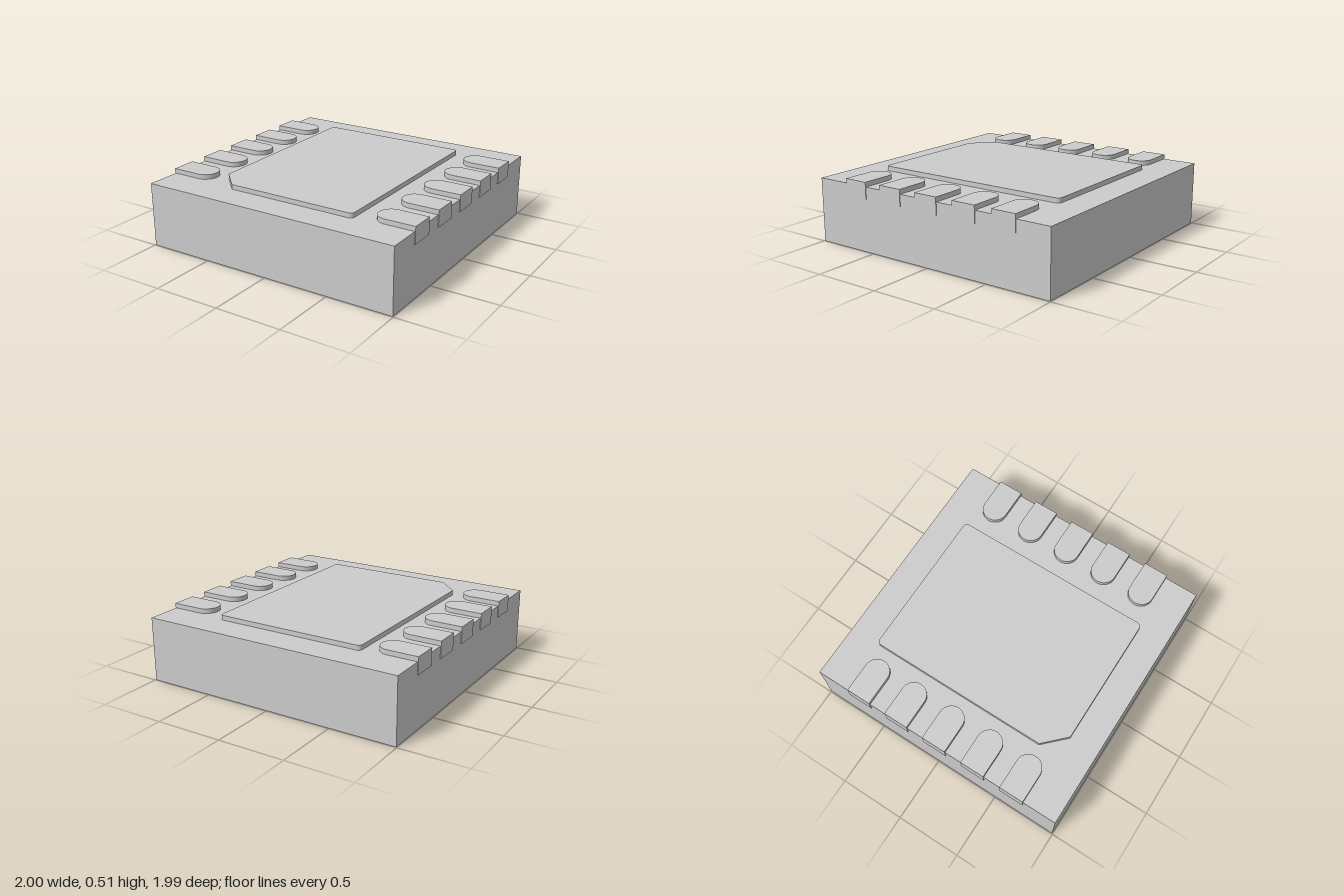
import * as THREE from 'three';
import { toCreasedNormals } from 'three/addons/utils/BufferGeometryUtils.js';

const BODY = 0.995;     // half width of the body
const BODY_TOP = 0.48;
const PAD_TOP = 0.515;
const RECESS = 0.01;

export function createModel() {
  const model = new THREE.Group();
  model.name = 'chipPackage';
  const material = new THREE.MeshStandardMaterial({ color: 0xcccccc });

  const add = (parent, name, geometry) => {
    const mesh = new THREE.Mesh(geometry, material);
    mesh.name = name;
    parent.add(mesh);
    return mesh;
  };

  // Plan outline (shape x, y = model x, z) made into a slab hanging below "top"
  const slab = (shape, bottom, top) => {
    const geometry = new THREE.ExtrudeGeometry(shape, {
      depth: top - bottom, bevelEnabled: false, curveSegments: 24,
    });
    geometry.rotateX(Math.PI / 2).translate(0, top, 0);
    return toCreasedNormals(geometry, Math.PI / 6);
  };

  // Body block
  const block = new THREE.BoxGeometry(2 * BODY, BODY_TOP - RECESS, 2 * BODY);
  block.translate(0, (BODY_TOP + RECESS) / 2, 0);
  add(model, 'body', block);

  // Thin base layer whose round hole forms the shallow orientation mark
  const base = new THREE.Shape([
    new THREE.Vector2(-BODY, -BODY), new THREE.Vector2(BODY, -BODY),
    new THREE.Vector2(BODY, BODY), new THREE.Vector2(-BODY, BODY),
  ]);
  base.holes.push(new THREE.Path().absarc(-0.675, 0.67, 0.13, 0, Math.PI * 2, true));
  add(model, 'baseWithRoundMark', slab(base, 0, RECESS));

  // Large central pad: three rounded corners and one chamfer
  const [x0, x1, z0, z1, r] = [-0.595, 0.557, -0.767, 0.772, 0.03];
  const plate = new THREE.Shape();
  plate.moveTo(x0, z0 + r);
  plate.absarc(x0 + r, z0 + r, r, Math.PI, Math.PI * 1.5);
  plate.absarc(x1 - r, z0 + r, r, -Math.PI / 2, 0);
  plate.absarc(x1 - r, z1 - r, r, 0, Math.PI / 2);
  plate.lineTo(-0.437, z1);
  plate.lineTo(x0, 0.614);
  plate.closePath();
  add(model, 'centralPad', slab(plate, BODY_TOP, PAD_TOP));

  // Edge contact: tongue with a round inner end, and a foot folded down the side
  const half = 0.094;
  const tongue = new THREE.Shape();
  tongue.moveTo(1, -half);
  tongue.lineTo(1, half);
  tongue.lineTo(0.776, half);
  tongue.absarc(0.776, 0, half, Math.PI / 2, Math.PI * 1.5);
  tongue.closePath();
  const tongueGeometry = slab(tongue, BODY_TOP, PAD_TOP);
  const footGeometry = new THREE.BoxGeometry(0.02, BODY_TOP - 0.39, 2 * half);
  footGeometry.translate(0.99, (BODY_TOP + 0.39) / 2, 0);

  // Five contacts along each side
  for (const side of [1, -1]) {
    for (let i = -2; i <= 2; i++) {
      const contact = new THREE.Group();
      contact.name = `${side > 0 ? 'left' : 'right'}Contact${i + 3}`;
      add(contact, 'contactTop', tongueGeometry);
      add(contact, 'contactFoot', footGeometry);
      contact.position.z = i * 0.321;
      contact.rotation.y = side > 0 ? 0 : Math.PI;
      model.add(contact);
    }
  }
  return model;
}
